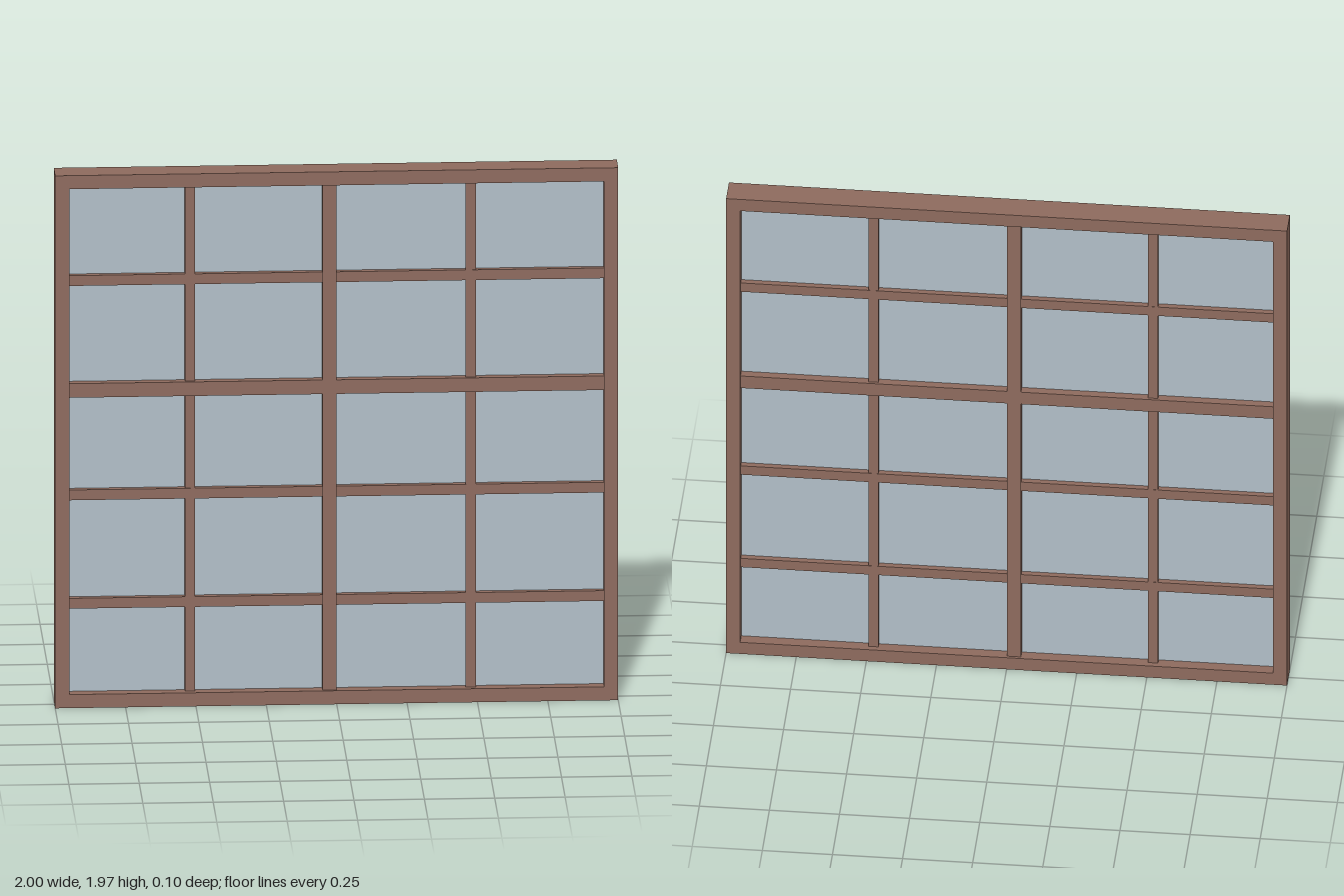
import * as THREE from 'three';

export function createModel() {
  const group = new THREE.Group();
  const wood = new THREE.MeshStandardMaterial({ color: 0x8d6a5d });
  wood.name = 'brown wood';
  const glass = new THREE.MeshStandardMaterial({ color: 0xb0bec7 });
  glass.name = 'pale blue glass';

  const W = 2, H = 1.97, D = 0.1, border = 0.05;

  // Box given by its x and y limits, centred on z = 0
  function bar(name, x0, x1, y0, y1, depth, material = wood) {
    const mesh = new THREE.Mesh(new THREE.BoxGeometry(x1 - x0, y1 - y0, depth), material);
    mesh.position.set((x0 + x1) / 2, (y0 + y1) / 2, 0);
    mesh.name = name;
    group.add(mesh);
  }

  // Outer frame: one rectangle with a rectangular opening
  const rectangle = (Type, x, y0, y1) => new Type([
    new THREE.Vector2(-x, y0), new THREE.Vector2(x, y0),
    new THREE.Vector2(x, y1), new THREE.Vector2(-x, y1),
  ]);
  const outline = rectangle(THREE.Shape, W / 2, 0, H);
  outline.holes.push(rectangle(THREE.Path, W / 2 - border, border, H - border));
  const frameGeometry = new THREE.ExtrudeGeometry(outline, { depth: D, bevelEnabled: false });
  frameGeometry.translate(0, 0, -D / 2);
  const frame = new THREE.Mesh(frameGeometry, wood);
  frame.name = 'outerFrame';
  group.add(frame);

  // Glass sheet in the middle of the frame
  const xIn = W / 2 - border, yTop = H - border;
  bar('glassPane', -xIn, xIn, border, yTop, 0.018, glass);

  // Main mullion and transom
  bar('mainMullion', -0.05, 0, border, yTop, 0.08);
  bar('mainTransom', -xIn, xIn, 1.145, 1.197, 0.078);

  // Thin glazing bars, set further back
  for (const x of [-0.52, 0.477]) {
    bar('verticalGlazingBar', x - 0.018, x + 0.018, border, yTop, 0.058);
  }
  for (const y of [0.381, 0.782, 1.575]) {
    bar('horizontalGlazingBar', -xIn, xIn, y - 0.019, y + 0.019, 0.06);
  }
  return group;
}
